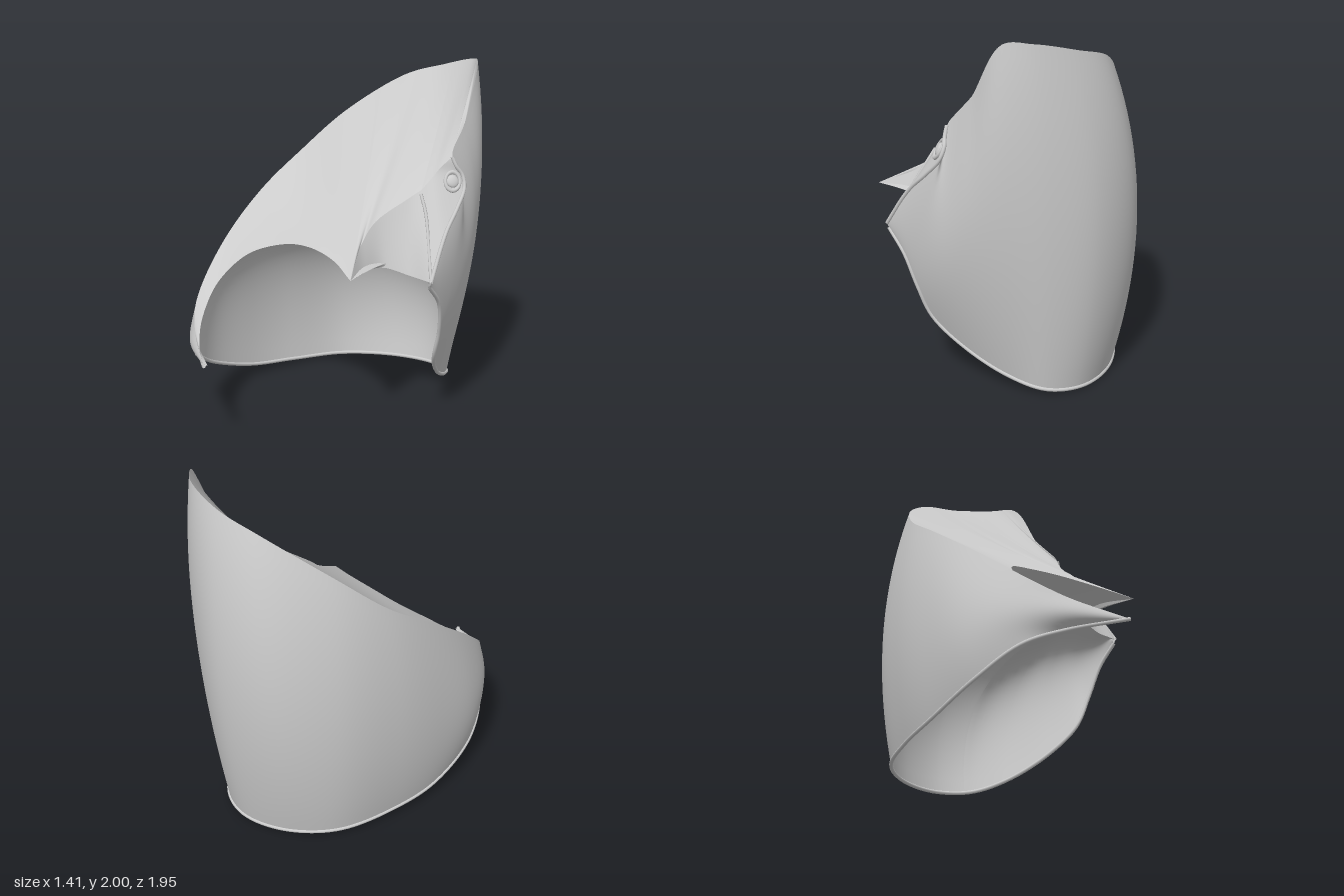
import * as THREE from 'three';

const material = new THREE.MeshStandardMaterial({ color: 0xcccccc, side: THREE.DoubleSide });
const vec = (p) => new THREE.Vector3(...p);
const curve = (pts) => new THREE.CatmullRomCurve3(pts.map(vec), false, 'centripetal');

// Smooth sheet swept between two or three long curves; sag dips it in proportion to its width
function loft(name, curves, nu, nv, sag = 0) {
  const pos = [], index = [];
  for (let i = 0; i <= nu; i++) {
    const pts = curves.map((c) => c.getPoint(i / nu));
    const dip = sag * pts[0].distanceTo(pts[pts.length - 1]);
    for (let j = 0; j <= nv; j++) {
      const v = j / nv;
      const p = new THREE.Vector3();
      if (pts.length === 2) p.lerpVectors(pts[0], pts[1], v);
      else {
        // quadratic section through start, middle and end
        p.addScaledVector(pts[0], (1 - v) * (1 - 2 * v))
          .addScaledVector(pts[1], 4 * v * (1 - v))
          .addScaledVector(pts[2], v * (2 * v - 1));
      }
      pos.push(p.x, p.y - dip * Math.sin(Math.PI * v), p.z);
      if (i < nu && j < nv) {
        const a = i * (nv + 1) + j, b = a + nv + 1;
        index.push(a, b, a + 1, b, b + 1, a + 1);
      }
    }
  }
  const geo = new THREE.BufferGeometry();
  geo.setAttribute('position', new THREE.Float32BufferAttribute(pos, 3));
  geo.setIndex(index);
  geo.computeVertexNormals();
  return mesh(name, geo);
}

function mesh(name, geo) {
  const m = new THREE.Mesh(geo, material);
  m.name = name;
  return m;
}

const bead = (name, path, radius, n = 60) =>
  mesh(name, new THREE.TubeGeometry(path, n, radius, 8));

// Part of a wall curve (stations 0 to 15), visited at the listed station numbers
const remap = (base, stops) => ({
  getPoint(t) {
    const f = t * (stops.length - 1);
    const i = Math.min(Math.floor(f), stops.length - 2);
    return base.getPoint(THREE.MathUtils.lerp(stops[i], stops[i + 1], f - i) / 15);
  },
});

export function createModel() {
  const group = new THREE.Group();
  group.name = 'curvedShellHead';

  // Wall, from the pointed front tip round the back to the cheek corner
  const top = curve([
    [-0.04, 0.48, 0.97], [-0.3, 0.58, 0.82], [-0.45, 0.7, 0.68], [-0.58, 0.95, 0.37],
    [-0.63, 1.2, 0.02], [-0.6, 1.4, -0.28], [-0.47, 1.63, -0.54], [-0.2, 1.855, -0.78],
    [0.05, 1.935, -0.845], [0.3, 1.995, -0.81], [0.42, 1.99, -0.71], [0.485, 1.68, -0.53],
    [0.525, 1.51, -0.38], [0.585, 1.37, -0.42], [0.65, 1.11, -0.18], [0.69, 0.89, -0.03],
  ]);
  const middle = curve([
    [-0.04, 0.48, 0.97], [-0.36, 0.49, 0.81], [-0.56, 0.51, 0.61], [-0.67, 0.54, 0.38],
    [-0.705, 0.6, 0.08], [-0.685, 0.7, -0.25], [-0.575, 0.85, -0.61], [-0.33, 1.0, -0.89],
    [-0.03, 1.05, -0.967], [0.23, 1.07, -0.89], [0.43, 1.08, -0.74], [0.54, 0.98, -0.57],
    [0.6, 0.93, -0.43], [0.64, 0.92, -0.3], [0.67, 0.91, -0.15], [0.687, 0.875, -0.03],
  ]);
  const bottom = curve([
    [-0.04, 0.48, 0.97], [-0.3, 0.42, 0.79], [-0.49, 0.34, 0.66], [-0.615, 0.2, 0.44],
    [-0.655, 0.08, 0.1], [-0.62, 0.04, -0.22], [-0.51, 0.02, -0.56], [-0.29, 0.012, -0.77],
    [-0.03, 0.016, -0.85], [0.17, 0.035, -0.79], [0.3, 0.085, -0.62], [0.43, 0.2, -0.4],
    [0.54, 0.36, -0.24], [0.61, 0.55, -0.2], [0.655, 0.74, -0.14], [0.68, 0.86, -0.03],
  ]);
  group.add(loft('wall', [top, middle, bottom], 120, 24));
  group.add(bead('wallRim', bottom, 0.011, 120));

  // Sloping face, up to the round opening and then up to the beak and eye edge
  const opening = curve([
    [-0.04, 0.48, 0.97], [-0.2, 0.53, 0.87], [-0.35, 0.63, 0.72], [-0.42, 0.78, 0.54],
    [-0.35, 0.92, 0.38], [-0.15, 1.0, 0.28], [0.05, 1.02, 0.27], [0.28, 1.0, 0.31],
    [0.49, 0.95, 0.39],
  ]);
  const beakEdge = curve([
    [0.49, 0.95, 0.39], [0.35, 1.08, 0.16], [0.34, 1.18, 0.04],
    [0.42, 1.29, -0.12], [0.46, 1.34, -0.2],
  ]);
  const browEdge = curve([
    [0.46, 1.34, -0.2], [0.475, 1.4, -0.27], [0.49, 1.45, -0.32], [0.525, 1.51, -0.38],
  ]);
  group.add(
    loft('faceFront', [opening, remap(top, [0, 1, 1.7, 2.4, 3.2, 4, 5, 5.8, 6.6])], 80, 16, 0.02),
    loft('faceBeak', [beakEdge, remap(top, [6.6, 7.2, 7.6, 8, 8.3])], 40, 16, 0.02),
    loft('faceBrow', [browEdge, remap(top, [8.3, 8.6, 9, 9.4])], 24, 16, 0.02),
    loft('faceCrest', [remap(top, [12, 11, 10]), remap(top, [9.4, 9.7, 10])], 24, 16, 0.02),
  );

  // Recessed cheek under the brow, and the socket behind it
  const cheekLow = curve([
    [0.49, 0.95, 0.39], [0.41, 0.945, 0.18], [0.415, 0.93, 0.04],
    [0.54, 0.9, -0.02], [0.69, 0.89, -0.03],
  ]);
  const ridge = remap(top, [15, 14, 13, 12]);
  group.add(
    loft('beakCheek', [cheekLow, beakEdge], 40, 10),
    loft('eyeSocket', [ridge, browEdge], 30, 10),
    bead('cheekCrease', curve([
      [0.47, 1.32, -0.185], [0.53, 1.22, -0.16], [0.62, 1.03, -0.09], [0.685, 0.9, -0.035],
    ]), 0.009, 30),
    bead('socketRidge', curve([0, 1, 2, 3, 4, 5, 6, 7, 8]
      .map((s) => ridge.getPoint(s / 8).toArray())), 0.011),
  );

  // Bowl-shaped hollow, curving from the bottom rim up and over to the opening edge
  const hollow = (name, edge, stops, nu) => {
    const low = remap(bottom, stops), outer = remap(middle, stops);
    const inner = {
      getPoint(t) {
        const b = low.getPoint(t), o = edge.getPoint(t), m = outer.getPoint(t);
        const bend = new THREE.Vector3(m.x * 0.96, o.y, m.z * 0.96);
        return bend.multiplyScalar(0.6).addScaledVector(b.add(o), 0.2);
      },
    };
    return loft(name, [low, inner, edge], nu, 24);
  };
  group.add(
    hollow('hollowMain', opening, [0, 1, 1.9, 3, 4.2, 5.6, 6.9, 8, 8.8], 90),
    hollow('hollowCheek', cheekLow, [8.8, 10, 11.6, 13.4, 15], 40),
  );

  // Eye with a raised lid
  const eye = new THREE.Group();
  eye.name = 'eye';
  eye.position.set(0.556, 1.38, -0.35);
  eye.quaternion.setFromUnitVectors(new THREE.Vector3(0, 0, 1), vec([0.8, 0.45, 0.4]).normalize());
  const ball = mesh('eyeball', new THREE.SphereGeometry(0.036, 20, 14));
  ball.scale.z = 0.4;
  const lid = mesh('eyelid', new THREE.TorusGeometry(0.043, 0.01, 8, 28));
  lid.scale.y = 1.25;
  eye.add(ball, lid);
  group.add(eye);

  return group;
}
